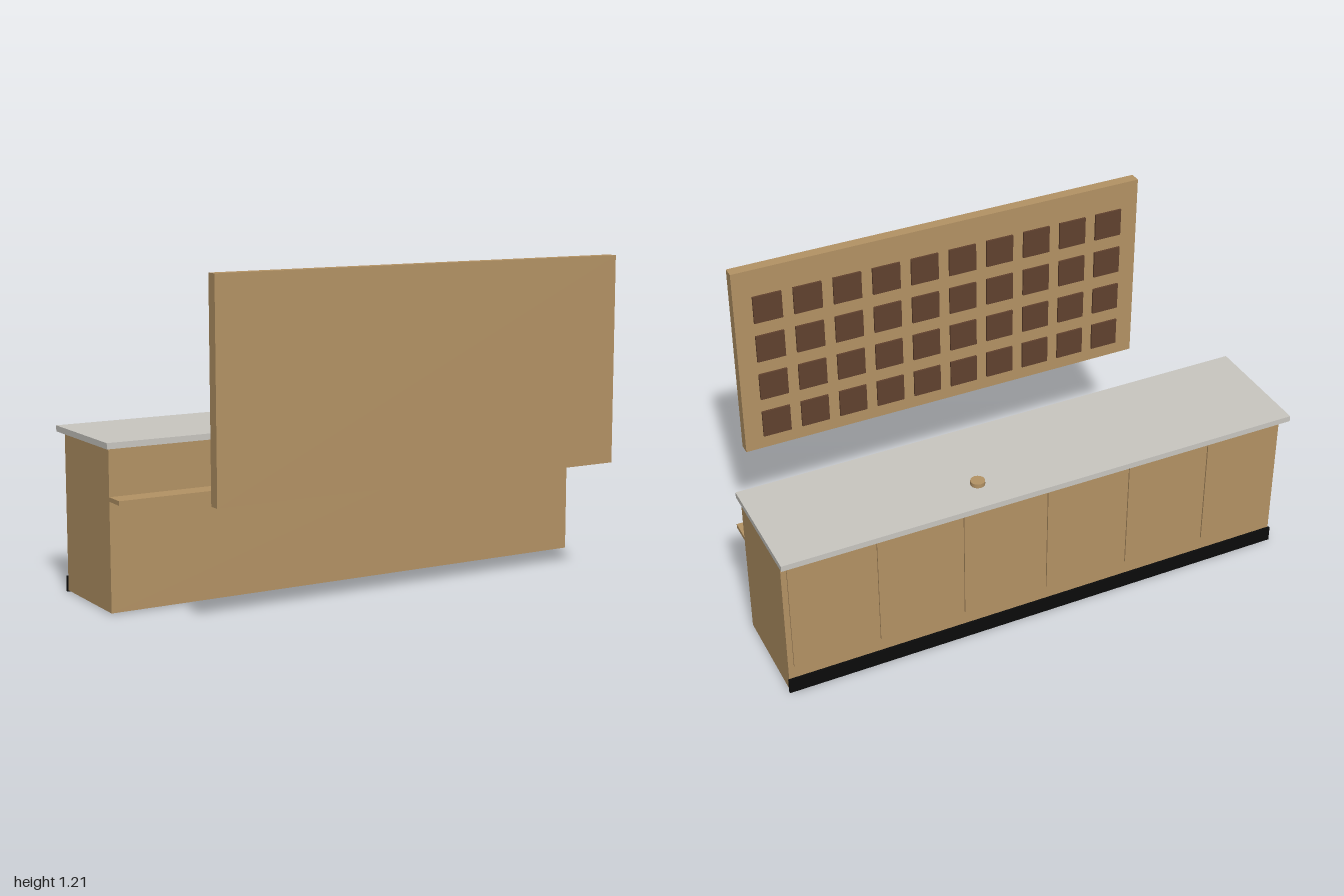
import * as THREE from 'three';

export function createModel() {
  const model = new THREE.Group();
  model.name = 'receptionDesk';

  const material = (name, color) => {
    const m = new THREE.MeshStandardMaterial({ color });
    m.name = name;
    return m;
  };
  const wood = material('wood', 0xb39264);
  const stone = material('stone', 0xc8c6c0);
  const darkWood = material('darkWood', 0x60412e);
  const black = material('black', 0x0a0a0a);

  // Box given by its [min, max] range along each axis
  const box = (name, mat, [x0, x1], [y0, y1], [z0, z1], parent = model) => {
    const mesh = new THREE.Mesh(new THREE.BoxGeometry(x1 - x0, y1 - y0, z1 - z0), mat);
    mesh.position.set((x0 + x1) / 2, (y0 + y1) / 2, (z0 + z1) / 2);
    mesh.name = name;
    parent.add(mesh);
    return mesh;
  };

  // Counter: body, worktop, front ledge and kick plate
  box('counterBody', wood, [-0.988, 0.988], [0.005, 0.587], [-0.411, -0.026]);
  box('worktop', stone, [-1, 1], [0.587, 0.609], [-0.461, -0.01]);
  box('frontLedge', wood, [-0.988, 0.988], [0.401, 0.417], [-0.026, 0.056]);
  box('kickPlate', black, [-0.992, 0.992], [0, 0.058], [-0.42, -0.411]);

  // Cabinet doors along the back of the counter
  const doors = new THREE.Group();
  doors.name = 'cabinetDoors';
  model.add(doors);
  for (let i = 0; i < 6; i++) {
    const x = (i - 2.5) * 0.3293;
    box('door', wood, [x - 0.144, x + 0.144], [0.114, 0.552], [-0.417, -0.411], doors);
  }

  // Small round bell on the worktop
  const bell = new THREE.Mesh(new THREE.CylinderGeometry(0.0265, 0.0265, 0.016, 16), wood);
  bell.position.set(0.217, 0.617, -0.333);
  bell.name = 'bell';
  model.add(bell);

  // Upright board with a grid of pigeonholes facing the counter
  box('wallBoard', wood, [-0.82, 0.82], [0.444, 1.213], [0.418, 0.461]);
  const holes = new THREE.Group();
  holes.name = 'pigeonholes';
  model.add(holes);
  for (let row = 0; row < 4; row++) {
    for (let col = 0; col < 10; col++) {
      const x = (col - 4.5) * 0.154;
      const y = 0.553 + row * 0.1655;
      box('pigeonhole', darkWood, [x - 0.055, x + 0.055], [y - 0.055, y + 0.055], [0.41, 0.418], holes);
    }
  }

  return model;
}
